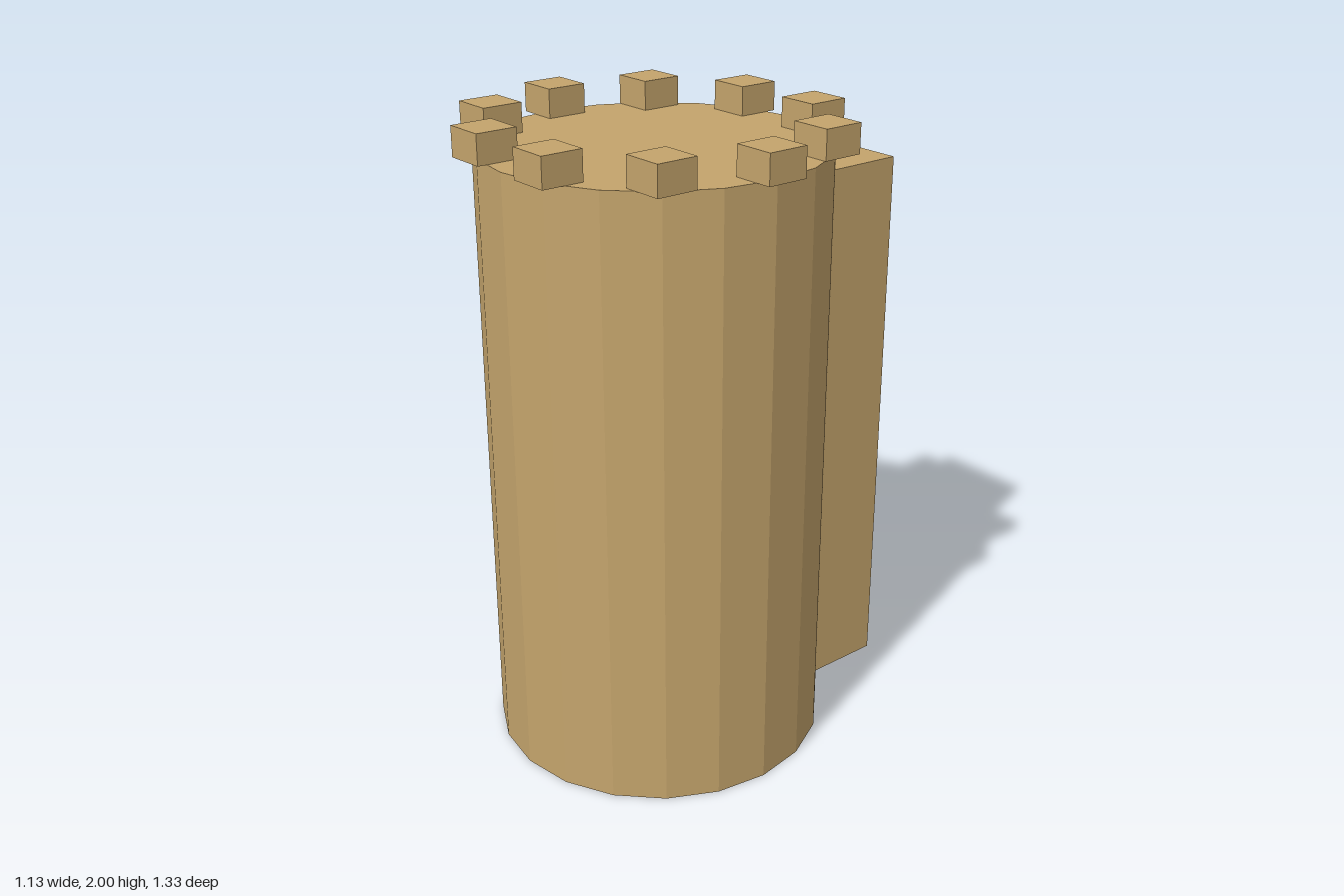
import * as THREE from 'three';

const STONE = new THREE.MeshStandardMaterial({ color: 0xc4a46c, flatShading: true });
const CENTER_Z = 0.123; // tower axis, shifted forward of the rear buttress
const RADIUS = 0.525;
const WALL_TOP = 1.91;

function addPart(parent, name, geometry, x, y, z) {
  const mesh = new THREE.Mesh(geometry, STONE);
  mesh.name = name;
  mesh.position.set(x, y, z);
  parent.add(mesh);
}

export function createModel() {
  const tower = new THREE.Group();
  tower.name = 'tower';

  // Twenty-sided tower body
  addPart(tower, 'towerBody', new THREE.CylinderGeometry(RADIUS, RADIUS, WALL_TOP, 20), 0, WALL_TOP / 2, CENTER_Z);

  // Square buttress running up the back, sunk into the wall
  const height = 1.78, depth = 0.395;
  addPart(tower, 'rearButtress', new THREE.BoxGeometry(0.394, height, depth), 0, height / 2, -0.665 + depth / 2);

  // Ring of ten merlons, all aligned with the axes
  const battlements = new THREE.Group();
  battlements.name = 'battlements';
  const merlon = new THREE.BoxGeometry(0.131, 2 - WALL_TOP, 0.131);
  for (let i = 0; i < 10; i++) {
    const a = (i / 10) * Math.PI * 2;
    addPart(battlements, `merlon${i + 1}`, merlon, 0.5 * Math.cos(a), (2 + WALL_TOP) / 2, CENTER_Z + 0.5 * Math.sin(a));
  }
  tower.add(battlements);

  return tower;
}
